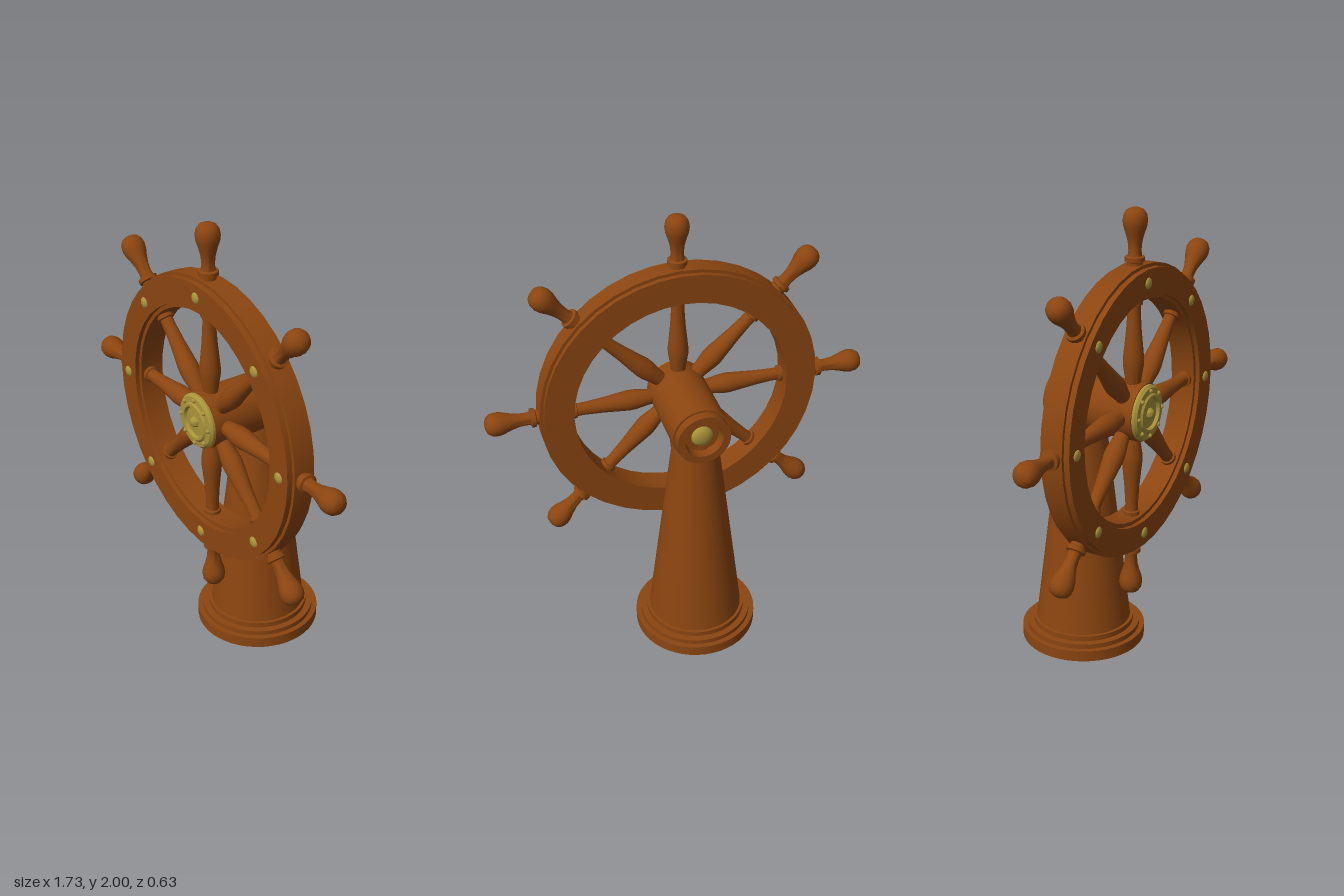
import * as THREE from 'three';
import { toCreasedNormals } from 'three/addons/utils/BufferGeometryUtils.js';

const wood = new THREE.MeshStandardMaterial({ color: 0x8b4510 });
wood.name = 'wood';
const brass = new THREE.MeshStandardMaterial({ color: 0xa8923a });
brass.name = 'brass';

// Turned part: [radius, height] pairs, bottom to top, around y
function turned(profile, segments, crease = 0.6) {
  const points = profile.map(([r, h]) => new THREE.Vector2(r, h));
  return toCreasedNormals(new THREE.LatheGeometry(points, segments), crease);
}

function part(name, geometry, material, parent) {
  const mesh = new THREE.Mesh(geometry, material);
  mesh.name = name;
  parent.add(mesh);
  return mesh;
}

export function createModel() {
  const model = new THREE.Group();
  model.name = 'shipWheel';

  // Pedestal with a stepped foot
  const pedestal = turned([
    [0, 0], [0.28, 0], [0.28, 0.05], [0.257, 0.05], [0.257, 0.072],
    [0.228, 0.072], [0.228, 0.096], [0.214, 0.096], [0.1, 1.04], [0.096, 1.08], [0, 1.08],
  ], 48);
  part('pedestal', pedestal, wood, model).position.z = -0.036;

  // Everything on the axle is centred on the wheel height
  const wheel = new THREE.Group();
  wheel.name = 'wheel';
  wheel.position.y = 1.137;
  model.add(wheel);

  // Axle housing and hub, with a recess in the rear end
  const axle = turned([
    [0, -0.13], [0.076, -0.13], [0.084, -0.167], [0.118, -0.167], [0.118, -0.127],
    [0.127, -0.127], [0.127, 0.27], [0, 0.27],
  ], 40).rotateX(Math.PI / 2);
  part('axleHousing', axle, wood, wheel);
  const rearCap = new THREE.SphereGeometry(0.048, 20, 12).scale(1, 1, 0.5);
  part('rearCap', rearCap, brass, wheel).position.z = -0.133;

  // Rim with stepped outer and inner edges
  const rim = turned([
    [0.486, 0.143], [0.618, 0.143], [0.618, 0.165], [0.632, 0.165], [0.632, 0.25],
    [0.618, 0.25], [0.618, 0.275], [0.503, 0.275], [0.503, 0.255], [0.486, 0.255], [0.486, 0.143],
  ], 40, 0.4).rotateX(Math.PI / 2);
  part('rim', rim, wood, wheel);

  // Brass hub plate with a raised border and central boss
  const plate = turned([
    [0.122, 0.265], [0.122, 0.28], [0.112, 0.292], [0.088, 0.294], [0.08, 0.302],
    [0.07, 0.302], [0.064, 0.288], [0.024, 0.29], [0.02, 0.302], [0.012, 0.309], [0, 0.311],
  ], 40).rotateX(Math.PI / 2);
  part('hubPlate', plate, brass, wheel);

  const spoke = turned([
    [0.03, 0.09], [0.036, 0.15], [0.044, 0.2], [0.045, 0.23], [0.04, 0.28], [0.033, 0.35],
    [0.028, 0.43], [0.028, 0.462], [0.036, 0.465], [0.036, 0.48], [0.03, 0.483], [0.03, 0.51],
  ], 20);
  const handle = turned([
    [0.033, 0.6], [0.033, 0.642], [0.042, 0.646], [0.042, 0.664], [0.03, 0.668],
    [0.027, 0.69], [0.03, 0.725], [0.039, 0.76], [0.049, 0.79], [0.052, 0.813],
    [0.048, 0.837], [0.036, 0.855], [0.019, 0.863], [0, 0.865],
  ], 20, 0.7);
  const rimStud = new THREE.SphereGeometry(0.025, 16, 10).scale(1, 1, 0.5);
  const hubStud = new THREE.SphereGeometry(0.01, 10, 8);

  // Eight spokes, handles and studs
  for (let i = 0; i < 8; i++) {
    const arm = new THREE.Group();
    arm.name = 'arm' + (i + 1);
    arm.rotation.z = (i * Math.PI) / 4;
    wheel.add(arm);
    part('spoke', spoke, wood, arm).position.z = 0.21;
    part('handle', handle, wood, arm).position.z = 0.21;
    part('rimStud', rimStud, brass, arm).position.set(0, 0.56, 0.273);
    part('hubStud', hubStud, brass, arm).position.set(0, 0.1, 0.294);
  }
  return model;
}
